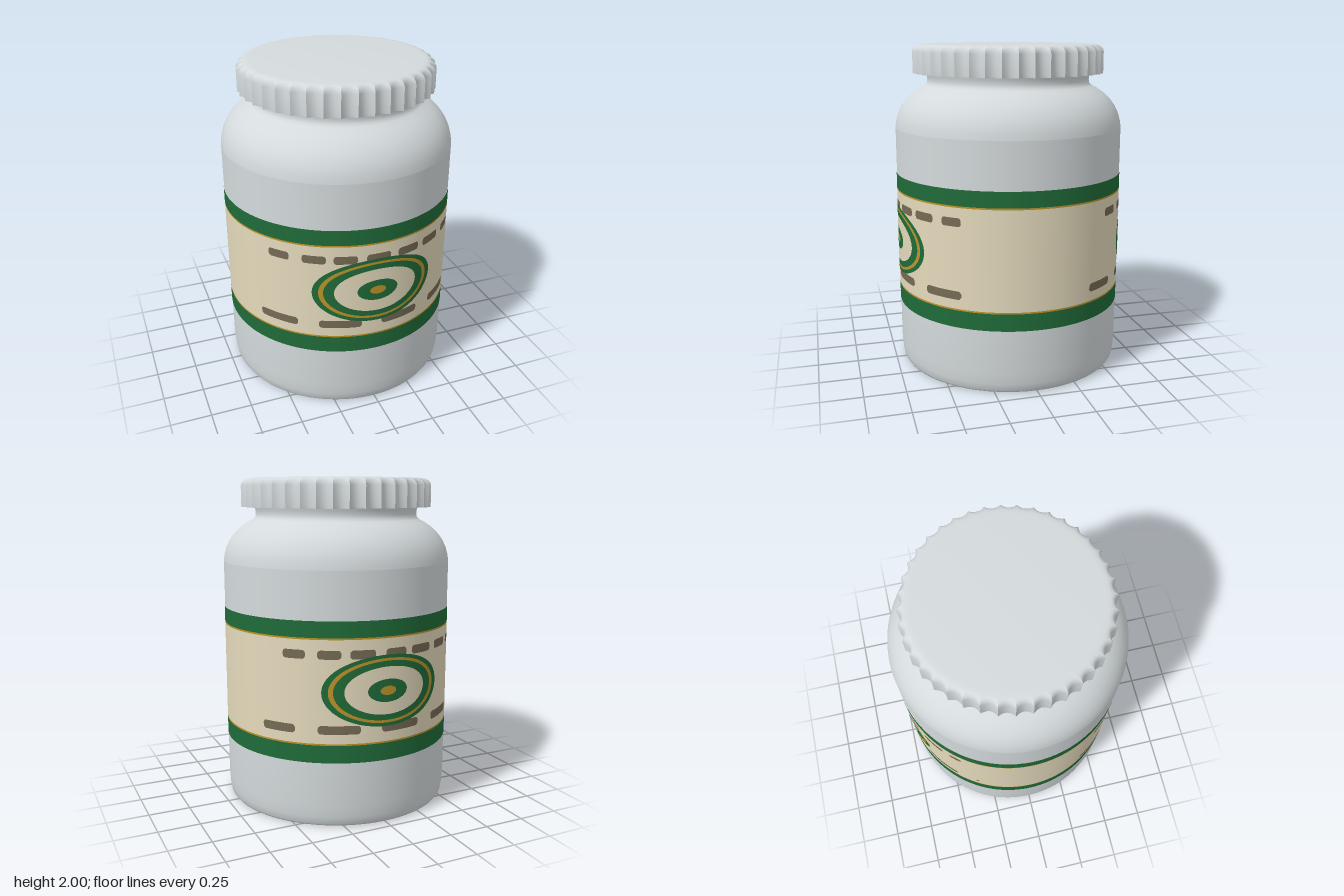
import * as THREE from 'three';
import { toCreasedNormals } from 'three/addons/utils/BufferGeometryUtils.js';

const R = 0.705; // jar wall radius
const LABEL = 0.7075; // label radius
const SEG = 128;

const material = (name, color) => {
  const m = new THREE.MeshStandardMaterial({ color });
  m.name = name;
  return m;
};

const lathe = (pts, seg = SEG) =>
  new THREE.LatheGeometry(pts.map(([x, y]) => new THREE.Vector2(x, y)), seg);

// Bends a flat geometry (x = angle, y = height) onto a cylinder about y
function wrap(geometry, radius) {
  const p = geometry.attributes.position;
  for (let i = 0; i < p.count; i++) {
    const a = p.getX(i);
    p.setXYZ(i, radius * Math.sin(a), p.getY(i), radius * Math.cos(a));
  }
  geometry.computeVertexNormals();
  return geometry;
}

// Hollow fluted screw cap: a lathe whose wall is scalloped between sharp ridges
function capGeometry() {
  const flutes = 40, steps = 8;
  const geometry = lathe([
    [0, 1.95], [0.545, 1.95], [0.545, 1.825], [0.589, 1.825], [0.59, 1.835], [0.59, 1.955],
    [0.586, 1.97], [0.574, 1.984], [0.555, 1.994], [0.535, 1.998], [0.51, 2], [0, 2],
  ], flutes * steps);
  const p = geometry.attributes.position;
  for (let i = 0; i < p.count; i++) {
    const x = p.getX(i), z = p.getZ(i), r = Math.hypot(x, z);
    if (r < 0.546) continue;
    const t = Math.atan2(x, z) / (Math.PI * 2) * flutes;
    const u = 2 * (t - Math.floor(t + 1e-6)) - 1; // -1..1 between two ridges
    const depth = 0.022 * Math.min(1, (r - 0.546) / 0.04) * (1 - u * u);
    const k = (r - depth) / r;
    p.setX(i, x * k);
    p.setZ(i, z * k);
  }
  return toCreasedNormals(geometry, 0.65);
}

export function createModel() {
  const model = new THREE.Group();
  model.name = 'jar';
  const plastic = material('pale grey plastic', 0xd4dadc);
  const cream = material('cream', 0xe4dabc);
  const green = material('green', 0x206b39);
  const gold = material('gold', 0xbd942a);
  const brown = material('grey brown', 0x756a55);

  const add = (name, geometry, mat, parent = model) => {
    const mesh = new THREE.Mesh(geometry, mat);
    mesh.name = name;
    parent.add(mesh);
    return mesh;
  };

  // Jar body below and above the label
  add('lowerBody', toCreasedNormals(lathe([
    [0, 0], [0.67, 0], [0.685, 0.005], [0.693, 0.018], [0.7, 0.06], [R, 0.13], [R, 0.4],
  ]), 0.8), plastic);
  add('upperBody', lathe([[R, 1.215], [R, 1.497]]), plastic);
  add('shoulderAndNeck', lathe([
    [R, 1.497], [0.7, 1.535], [0.688, 1.578], [0.667, 1.622], [0.636, 1.665], [0.597, 1.702],
    [0.553, 1.732], [0.52, 1.75], [0.505, 1.765], [0.501, 1.785], [0.504, 1.81],
    [0.512, 1.83], [0.515, 1.85], [0.515, 1.95],
  ]), plastic);
  add('cap', capGeometry(), plastic);

  // Label bands around the whole jar
  [
    ['lowerGreenBand', 0.395, 0.5, green],
    ['lowerGoldLine', 0.5, 0.51, gold],
    ['creamBand', 0.51, 1.113, cream],
    ['upperGoldLine', 1.113, 1.123, gold],
    ['upperGreenBand', 1.123, 1.218, green],
  ].forEach(([name, y0, y1, mat]) => add(name, lathe([[LABEL, y0], [LABEL, y1]]), mat));

  // Oval emblem rings: inner and outer half-width as angles
  const rings = [
    ['outerGreenRing', 0.5, 0.553, green],
    ['goldRing', 0.459, 0.5, gold],
    ['innerGreenRing', 0.37, 0.459, green],
    ['creamOval', 0.178, 0.37, cream],
    ['greenOval', 0.071, 0.178, green],
    ['goldCentre', 0, 0.071, gold],
  ];

  // Round-ended dash between two angles
  const dash = (a0, a1, y) => {
    const w = a1 - a0, h = Math.min(0.051, w * 0.8), end = Math.min(0.028, w / 2);
    const g = new THREE.PlaneGeometry(w, h, 24, 1);
    const p = g.attributes.position;
    for (let i = 0; i < p.count; i++) {
      const t = Math.max(0, Math.abs(p.getX(i)) - (w / 2 - end)) / end;
      p.setY(i, p.getY(i) * (0.4 + 0.6 * Math.sqrt(Math.max(0, 1 - t * t))));
    }
    g.translate((a0 + a1) / 2, y, 0);
    return wrap(g, LABEL + 0.001);
  };

  // Printed panels, front and back
  const panels = [
    {
      name: 'frontPanel', turn: 0,
      upper: [[-0.94, -0.75], [-0.64, -0.44], [-0.38, -0.185], [-0.11, 0.1],
        [0.17, 0.38], [0.44, 0.655], [0.75, 0.93]],
      lower: [[-1.045, -0.683], [-0.503, -0.142], [0.03, 0.393], [0.569, 0.925]],
    },
    {
      name: 'backPanel', turn: Math.PI,
      upper: [[-0.88, -0.69], [-0.59, -0.4], [-0.33, -0.12], [-0.03, 0.16],
        [0.22, 0.445], [0.52, 0.737], [0.81, 0.92]],
      lower: [[-1.08, -0.78], [-0.59, -0.24], [-0.06, 0.305], [0.49, 0.85], [1.035, 1.07]],
    },
  ];
  for (const { name, turn, upper, lower } of panels) {
    const panel = new THREE.Group();
    panel.name = name;
    panel.rotation.y = turn;
    model.add(panel);
    for (const [ringName, inner, outer, mat] of rings) {
      const g = new THREE.RingGeometry(inner, outer, 72, 6);
      g.scale(1, 0.379, 1).translate(-0.007, 0.81, 0);
      add(ringName, wrap(g, LABEL + 0.002), mat, panel);
    }
    upper.forEach(([a, b]) => add('upperDash', dash(a, b, 1.028), brown, panel));
    lower.forEach(([a, b]) => add('lowerDash', dash(a, b, 0.592), brown, panel));
  }
  return model;
}
